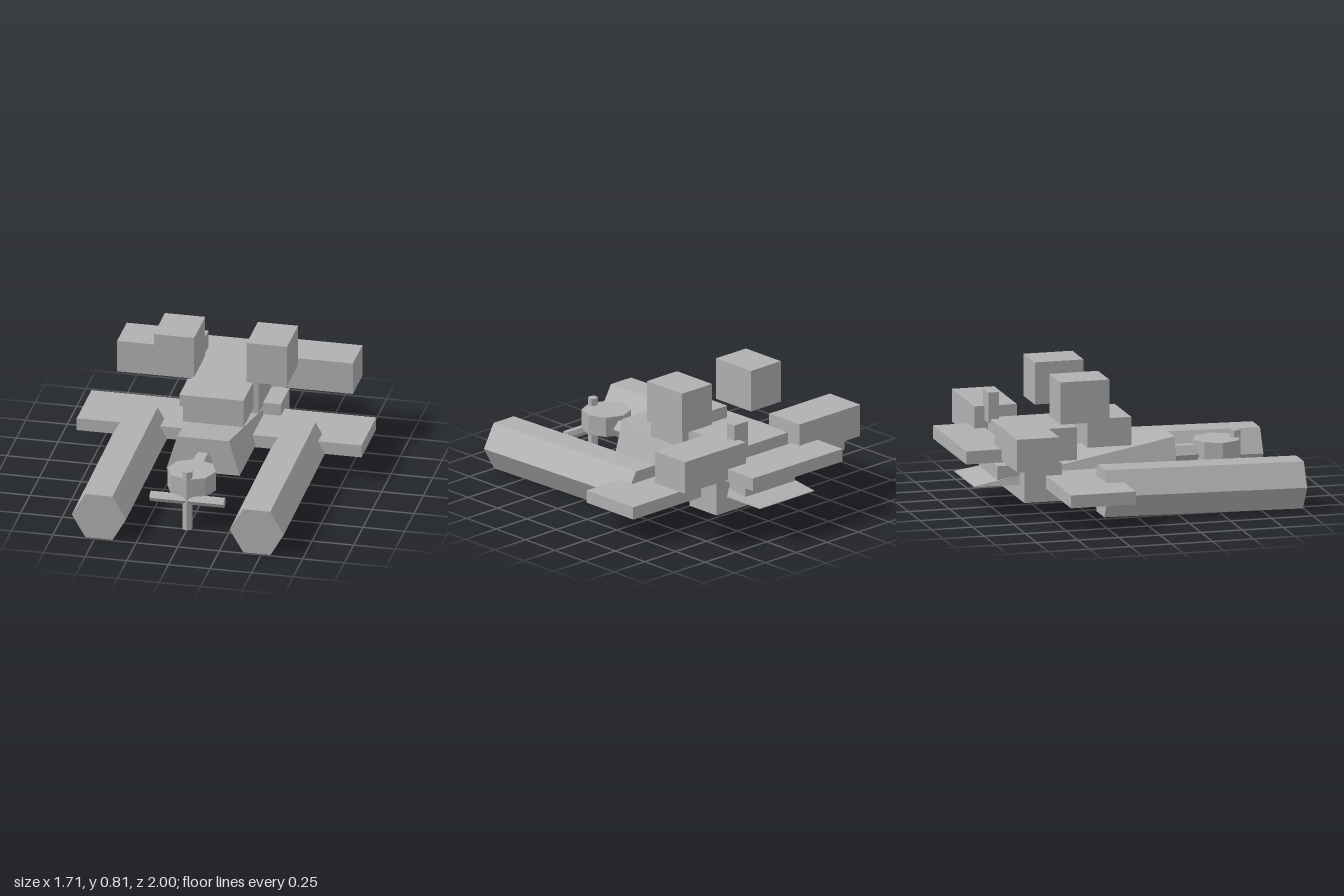
import * as THREE from 'three';

export function createModel() {
  const model = new THREE.Group();
  const grey = new THREE.MeshStandardMaterial({ color: 0xb0b0b0 });

  const add = (name, geometry) => {
    const flat = geometry.index ? geometry.toNonIndexed() : geometry;
    flat.computeVertexNormals();
    const mesh = new THREE.Mesh(flat, grey);
    mesh.name = name;
    model.add(mesh);
    return mesh;
  };

  // Block given by its limits on each axis
  const block = (name, [x0, x1], [y0, y1], [z0, z1]) =>
    add(name, new THREE.BoxGeometry(x1 - x0, y1 - y0, z1 - z0))
      .position.set((x0 + x1) / 2, (y0 + y1) / 2, (z0 + z1) / 2);

  // Hexagonal bar along z with flat top and bottom
  const hexBar = (r, length) =>
    new THREE.CylinderGeometry(r, r, length, 6).rotateY(Math.PI / 6).rotateX(Math.PI / 2);

  // Central body
  block('wing', [-0.855, 0.855], [0.16, 0.237], [-0.5, -0.105]);
  block('lowerBody', [-0.305, 0.305], [0.08, 0.31], [-0.63, -0.4]);
  block('upperBody', [-0.198, 0.198], [0.295, 0.492], [-0.71, -0.28]);
  block('cabin', [-0.182, 0.182], [0.36, 0.53], [-0.21, 0.055]);
  block('tailBoom', [-0.2, 0.2], [0.205, 0.287], [-0.765, -0.6]);
  block('tailPlane', [-0.363, 0.363], [0.347, 0.425], [-1, -0.72]);
  block('mast', [0.14, 0.25], [0.47, 0.653], [-0.725, -0.66]);

  // Wedge hull: tapered front face, thinning to a rear edge
  const hull = new THREE.BoxGeometry(0.44, 0.215, 1.235);
  const p = hull.attributes.position;
  for (let i = 0; i < p.count; i++) {
    const front = p.getZ(i) > 0, top = p.getY(i) > 0;
    const halfWidth = front && top ? 0.155 : 0.22;
    const y = top ? (front ? 0.39 : 0.177) : 0.173;
    p.setXYZ(i, Math.sign(p.getX(i)) * halfWidth, y, front ? 0.325 : -0.91);
  }
  add('wedgeHull', hull);

  // Paired parts
  for (const s of [-1, 1]) {
    const side = s > 0 ? 'left' : 'right';
    const span = (a, b) => (s > 0 ? [a, b] : [-b, -a]);
    block(side + 'UpperPod', span(0.158, 0.4), [0.56, 0.813], [-0.437, -0.14]);
    block(side + 'Engine', span(0.217, 0.708), [0.36, 0.557], [-0.787, -0.53]);
    const pontoon = add(side + 'Pontoon', hexBar(0.163, 1.21));
    pontoon.position.set(s * 0.474, 0.155, 0.393);
    pontoon.rotation.x = 0.0165;
  }

  // Nose drum, its arm and the crossed bars
  add('noseArm', hexBar(0.06, 0.45)).position.set(0, 0.25, 0.375);
  add('noseDrum', new THREE.CylinderGeometry(0.145, 0.145, 0.12, 8)).position.set(0, 0.27, 0.625);
  add('uprightBar', new THREE.CylinderGeometry(0.03, 0.03, 0.373, 6)).position.set(0, 0.1875, 0.74);
  add('crossBar', new THREE.CylinderGeometry(0.03, 0.03, 0.445, 6).rotateZ(Math.PI / 2))
    .position.set(0, 0.19, 0.74);

  return model;
}
